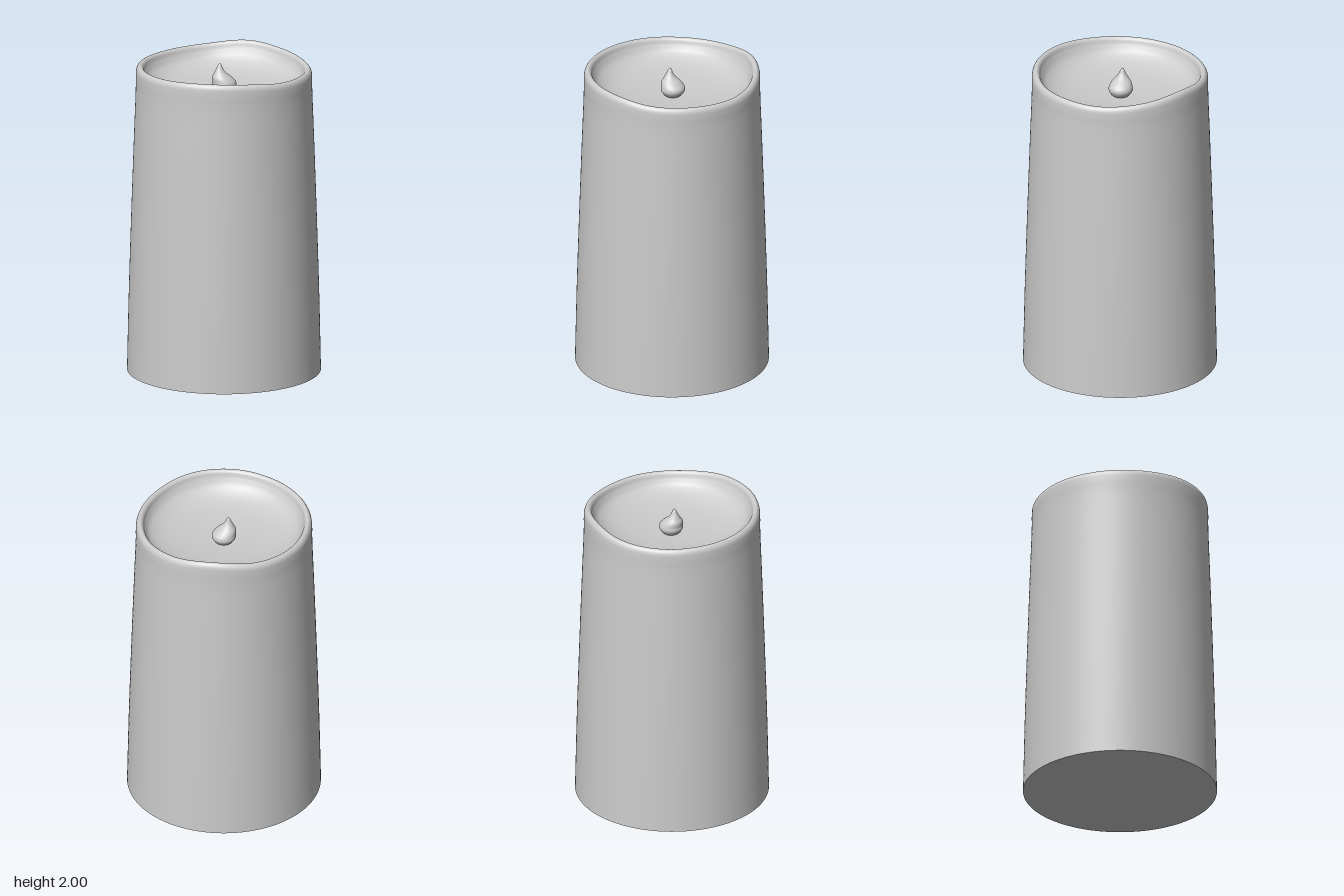
import * as THREE from 'three';
import { mergeVertices } from 'three/addons/utils/BufferGeometryUtils.js';

const material = new THREE.MeshStandardMaterial({ color: 0xcccccc });

// Rim height every 30 degrees, from +x towards +z
const RIM = [1.955, 1.96, 1.967, 1.99, 1.993, 1.983, 1.977, 1.972, 1.967, 1.975, 2.0, 1.975];

function rimHeight(x, z) {
  const n = RIM.length;
  const t = ((Math.atan2(z, x) / (Math.PI * 2) + 1) % 1) * n;
  const i = Math.floor(t);
  const f = t - i;
  const [a, b, c, d] = [-1, 0, 1, 2].map((k) => RIM[(i + k + n) % n]);
  return b + 0.5 * f * (c - a + f * (2 * a - 5 * b + 4 * c - d + f * (3 * (b - c) + d - a)));
}

// Lathe a smooth profile, move each vertex by a rule, and weld the seam
function sculptedLathe(name, points, samples, segments, rule) {
  const curve = new THREE.SplineCurve(points.map(([r, y]) => new THREE.Vector2(r, y)));
  const profile = curve.getPoints(samples);
  profile.forEach((p) => { p.x = Math.max(p.x, 0); });
  let geometry = new THREE.LatheGeometry(profile, segments);
  const pos = geometry.attributes.position;
  const v = new THREE.Vector3();
  for (let i = 0; i < pos.count; i++) {
    v.fromBufferAttribute(pos, i);
    rule(v);
    pos.setXYZ(i, v.x, v.y, v.z);
  }
  geometry.deleteAttribute('normal');
  geometry.deleteAttribute('uv');
  geometry = mergeVertices(geometry, 1e-5);
  geometry.computeVertexNormals();
  const mesh = new THREE.Mesh(geometry, material);
  mesh.name = name;
  return mesh;
}

export function createModel() {
  const group = new THREE.Group();
  group.name = 'candle';

  // Tapered wax body with a rounded wavy rim and a shallow bowl inside
  const body = sculptedLathe('waxBody', [
    [0.609, 0], [0.598, 0.5], [0.583, 1], [0.566, 1.5], [0.555, 1.8], [0.554, 1.92],
    [0.549, 1.965], [0.53, 1.985], [0.51, 1.975], [0.496, 1.94], [0.465, 1.895],
    [0.4, 1.855], [0.3, 1.83], [0.15, 1.815], [0, 1.81],
  ], 140, 128, (v) => {
    const r = Math.hypot(v.x, v.z);
    const weight = THREE.MathUtils.smoothstep(v.y, 1.78, 1.97) * THREE.MathUtils.smoothstep(r, 0.25, 0.5);
    v.y += (rimHeight(v.x, v.z) - 1.985) * weight;
  });
  group.add(body);

  // Flat underside
  const base = new THREE.Mesh(new THREE.CircleGeometry(0.609, 128), material);
  base.rotation.x = Math.PI / 2;
  base.name = 'base';
  group.add(base);

  // Drop-shaped flame with its tip curling to one side
  const flame = sculptedLathe('flame', [
    [0, 1.8], [0.045, 1.81], [0.072, 1.84], [0.075, 1.865], [0.062, 1.898],
    [0.039, 1.925], [0.023, 1.95], [0.012, 1.974], [0, 1.99],
  ], 40, 32, (v) => {
    const t = THREE.MathUtils.clamp((v.y - 1.87) / 0.12, 0, 1);
    v.x += 0.003 - 0.02 * Math.sin(t * Math.PI) - 0.027 * t * t;
    v.z += -0.005 - 0.006 * t;
  });
  group.add(flame);

  return group;
}
